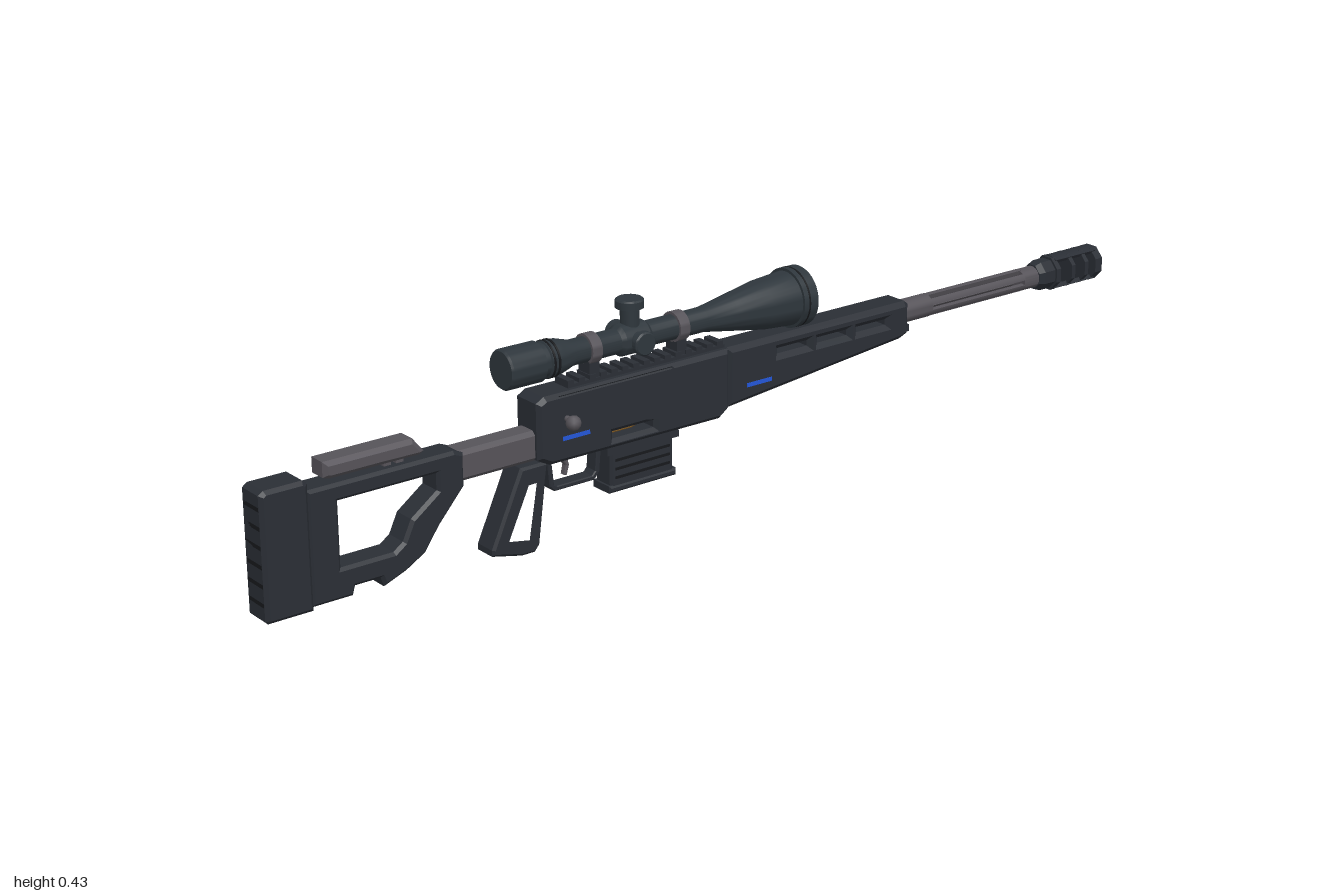
import * as THREE from 'three';
import { toCreasedNormals } from 'three/addons/utils/BufferGeometryUtils.js';

const material = (name, color) => Object.assign(new THREE.MeshStandardMaterial({ color }), { name });

export function createModel() {
  const model = new THREE.Group();
  const body = material('charcoal body', 0x2a2e35);
  const scopeMat = material('slate scope', 0x2e363c);
  const steel = material('grey steel', 0x565359);
  const black = material('black rubber', 0x17191c);
  const blue = material('blue marking', 0x2456d8);
  const brass = material('brass', 0x94692c);

  // The bolt knob sticks out to the front, so the gun's centre plane sits slightly back
  const rifle = new THREE.Group();
  rifle.name = 'rifle';
  rifle.position.z = -0.0045;
  model.add(rifle);

  const add = (name, geometry, mat, x = 0, y = 0, z = 0) => {
    const mesh = new THREE.Mesh(geometry, mat);
    mesh.name = name;
    mesh.position.set(x, y, z);
    rifle.add(mesh);
    return mesh;
  };
  const box = (name, mat, x0, x1, y0, y1, depth, z = 0) =>
    add(name, new THREE.BoxGeometry(x1 - x0, y1 - y0, depth), mat, (x0 + x1) / 2, (y0 + y1) / 2, z);
  const vectors = pts => pts.map(([x, y]) => new THREE.Vector2(x, y));
  const rect = (x0, x1, y0, y1) => [[x0, y0], [x1, y0], [x1, y1], [x0, y1]];

  // Side outline with holes, extruded across z with chamfered edges
  const plate = (name, mat, outline, depth, bevel, holes = []) => {
    const shape = new THREE.Shape(vectors(outline));
    shape.holes = holes.map(h => new THREE.Path(vectors(h)));
    const g = new THREE.ExtrudeGeometry(shape, {
      depth: depth - 2 * bevel, bevelEnabled: bevel > 0, bevelSize: bevel,
      bevelThickness: bevel, bevelOffset: -bevel, bevelSegments: 1,
    });
    g.translate(0, 0, bevel - depth / 2);
    return add(name, g, mat);
  };
  // Turned part along x from [x, radius] pairs
  const turned = (name, mat, profile, y, sides = 28) => {
    const g = new THREE.LatheGeometry(vectors(profile.map(([x, r]) => [r, x])), sides);
    g.rotateZ(-Math.PI / 2);
    return add(name, toCreasedNormals(g, 0.5), mat, 0, y);
  };
  // Arc-shaped bar running along x
  const arcBar = (name, mat, rIn, rOut, mid, half, x0, x1, y) => {
    const shape = new THREE.Shape();
    shape.absarc(0, 0, rOut, mid - half, mid + half, false);
    shape.absarc(0, 0, rIn, mid + half, mid - half, true);
    const g = new THREE.ExtrudeGeometry(shape, { depth: x1 - x0, bevelEnabled: false, curveSegments: 4 });
    g.rotateY(Math.PI / 2);
    return add(name, g, mat, x0, y);
  };

  // Stock
  plate('buttPad', body, [[-1, 0.025], [-0.995, 0.02], [-0.906, 0.02], [-0.906, 0.255], [-0.915, 0.262],
    [-0.99, 0.262], [-1, 0.255]], 0.066, 0.007);
  for (let i = 0; i < 6; i++) box('buttPadGroove', black, -1, -0.997, 0.05 + i * 0.035, 0.058 + i * 0.035, 0.05);
  plate('stockFrame', body, [[-0.908, 0.025], [-0.825, 0.025], [-0.82, 0.042], [-0.768, 0.042], [-0.762, 0.024],
    [-0.715, 0.042], [-0.675, 0.065], [-0.645, 0.108], [-0.59, 0.17], [-0.59, 0.232], [-0.61, 0.24], [-0.908, 0.24]],
  0.056, 0.006, [[[-0.847, 0.083], [-0.74, 0.083], [-0.72, 0.097], [-0.702, 0.135], [-0.647, 0.175],
    [-0.647, 0.207], [-0.847, 0.207]]]);
  plate('cheekRest', steel, [[-0.87, 0.252], [-0.858, 0.248], [-0.675, 0.248], [-0.667, 0.253], [-0.69, 0.281],
    [-0.87, 0.281]], 0.05, 0.008);
  for (const x of [-0.745, -0.72]) box('cheekRestPost', steel, x, x + 0.015, 0.235, 0.252, 0.022);
  plate('stockTube', steel, rect(-0.6, -0.43, 0.177, 0.235), 0.05, 0.008);

  // Receiver with an open bolt port and a cartridge slot
  plate('receiver', body, [[-0.437, 0.18], [-0.41, 0.166], [-0.02, 0.164], [0.002, 0.18], [0.002, 0.298],
    [-0.42, 0.298], [-0.437, 0.288]], 0.073, 0.008,
  [rect(-0.385, -0.143, 0.25, 0.287), rect(-0.27, -0.175, 0.183, 0.197)]);
  turned('bolt', steel, [[-0.4, 0], [-0.4, 0.0185], [-0.13, 0.0185], [-0.13, 0]], 0.266, 20);
  turned('cartridge', brass, [[-0.272, 0], [-0.272, 0.009], [-0.21, 0.009], [-0.195, 0.006], [-0.172, 0.003],
    [-0.172, 0]], 0.19, 12);
  const arm = new THREE.CylinderGeometry(0.006, 0.006, 0.045, 10).rotateX(Math.PI / 2);
  add('boltHandle', arm, steel, -0.375, 0.25, 0.03).rotation.x = 0.15;
  add('boltKnob', new THREE.IcosahedronGeometry(0.0145, 1), steel, -0.375, 0.246, 0.0565);
  box('magazineRelease', black, -0.3, -0.285, 0.155, 0.17, 0.008, -0.037);

  // Top rail
  box('railBase', body, -0.36, 0, 0.296, 0.304, 0.04);
  for (let i = 0; i < 15; i++) box('railTooth', body, -0.36 + i * 0.0245, -0.346 + i * 0.0245, 0.303, 0.312, 0.04);

  // Handguard with vent slots
  plate('handguard', body, [[0, 0.178], [0.06, 0.184], [0.44, 0.222], [0.46, 0.23], [0.46, 0.29], [0.45, 0.298],
    [0, 0.298]], 0.066, 0.01, [0.125, 0.225, 0.325].map(x => rect(x, x + 0.075, 0.259, 0.27)));
  box('slingStud', body, 0.43, 0.478, 0.226, 0.24, 0.02);

  // Slotted barrel
  const barrelY = 0.267;
  turned('barrelRear', steel, [[0.44, 0], [0.44, 0.0235], [0.53, 0.0235], [0.53, 0]], barrelY);
  turned('barrelFront', steel, [[0.785, 0], [0.785, 0.0225], [0.84, 0.0225], [0.84, 0]], barrelY);
  for (let i = 0; i < 6; i++)
    arcBar('barrelRib', steel, 0.014, 0.023, (i + 0.5) * Math.PI / 3, 0.3, 0.528, 0.788, barrelY);

  // Muzzle brake: eight-sided rings joined by top and bottom rails
  const ring = (x0, x1, r0 = 0.037, r1 = 0.037) => {
    const g = new THREE.CylinderGeometry(r1, r0, x1 - x0, 8, 1).toNonIndexed();
    g.rotateY(Math.PI / 8).rotateZ(-Math.PI / 2).scale(1, 1, 0.92);
    g.computeVertexNormals();
    add('muzzleRing', g, body, (x0 + x1) / 2, barrelY);
  };
  ring(0.826, 0.84, 0.027, 0.032);
  ring(0.84, 0.868, 0.032, 0.032);
  ring(0.868, 0.88);
  ring(0.912, 0.922);
  ring(0.95, 0.96);
  ring(0.981, 1);
  for (const s of [1, -1]) arcBar('muzzleRail', body, 0.027, 0.036, s * Math.PI / 2, 0.6, 0.875, 0.99, barrelY);
  turned('bore', black, [[0.998, 0.012], [1.0005, 0.012], [1.0005, 0]], barrelY);

  // Magazine
  plate('magazine', body, rect(-0.27, -0.125, 0.08, 0.168), 0.05, 0.005);
  box('magazineLip', body, -0.28, -0.115, 0.15, 0.166, 0.056);
  plate('magazineFloor', body, rect(-0.275, -0.12, 0.074, 0.088), 0.056, 0.004);
  for (const y of [0.1, 0.117, 0.134]) box('magazineRib', black, -0.26, -0.135, y, y + 0.005, 0.053);

  // Trigger group and skeleton grip
  plate('triggerGuard', body, [[-0.405, 0.17], [-0.4, 0.115], [-0.39, 0.105], [-0.3, 0.105], [-0.288, 0.118],
    [-0.283, 0.17]], 0.03, 0.002, [[[-0.395, 0.164], [-0.39, 0.118], [-0.384, 0.114], [-0.305, 0.114],
    [-0.298, 0.122], [-0.294, 0.164]]]);
  plate('trigger', steel, [[-0.372, 0.17], [-0.358, 0.17], [-0.35, 0.145], [-0.356, 0.125], [-0.362, 0.127],
    [-0.358, 0.145]], 0.014, 0.002);
  plate('grip', body, [[-0.47, 0.172], [-0.41, 0.172], [-0.418, 0.12], [-0.432, 0.015], [-0.442, 0.003],
    [-0.47, 0.003], [-0.535, 0.018], [-0.535, 0.03]], 0.054, 0.005,
  [[[-0.458, 0.142], [-0.432, 0.142], [-0.437, 0.11], [-0.452, 0.025], [-0.507, 0.036]]]);

  // Scope
  const scopeY = 0.356;
  turned('scopeBody', scopeMat, [[-0.49, 0], [-0.49, 0.035], [-0.486, 0.038], [-0.415, 0.038], [-0.412, 0.032],
    [-0.402, 0.032], [-0.4, 0.035], [-0.37, 0.033], [-0.34, 0.024], [-0.04, 0.024], [0.03, 0.036], [0.1, 0.048],
    [0.165, 0.053], [0.165, 0.0585], [0.198, 0.0585], [0.2, 0.057], [0.2, 0]], scopeY, 36);
  turned('objectiveBand', black, [[0.176, 0.0583], [0.176, 0.0588], [0.18, 0.0588], [0.18, 0.0583]], scopeY, 36);
  for (const x of [-0.398, -0.388]) turned('focusBand', black, [[x, 0.03], [x, 0.036], [x + 0.004, 0.036], [x + 0.004, 0.03]], scopeY);
  for (const x of [-0.298, -0.098]) {
    turned('scopeClamp', steel, [[x - 0.011, 0.02], [x - 0.011, 0.029], [x + 0.011, 0.029], [x + 0.011, 0.02]], scopeY);
    box('scopeMount', body, x - 0.011, x + 0.011, 0.3, 0.335, 0.034);
  }
  turned('turretHousing', scopeMat, [[-0.24, 0.024], [-0.232, 0.03], [-0.178, 0.03], [-0.17, 0.024]], scopeY);
  // Elevation knob on top, smaller knobs on both sides
  const turret = (name, angle, stem, top, r) => {
    const g = new THREE.LatheGeometry(vectors([[0.018, 0], [0.018, stem], [r, stem + 0.001], [r, top - 0.003],
      [r - 0.003, top], [0, top]]), 24);
    add(name, toCreasedNormals(g, 0.5), scopeMat, -0.205, scopeY).rotation.x = angle;
  };
  turret('elevationKnob', 0, 0.058, 0.076, 0.027);
  turret('windageKnob', Math.PI / 2, 0.036, 0.05, 0.023);
  turret('parallaxKnob', -Math.PI / 2, 0.036, 0.05, 0.023);

  // Blue markings on both flanks
  for (const s of [1, -1]) {
    box('receiverMarking', blue, -0.385, -0.325, 0.208, 0.216, 0.002, s * 0.0367);
    box('handguardMarking', blue, 0.045, 0.105, 0.212, 0.22, 0.002, s * 0.0332);
  }
  box('rearMarking', blue, -0.385, -0.33, 0.236, 0.243, 0.002, -0.0367);
  return model;
}
